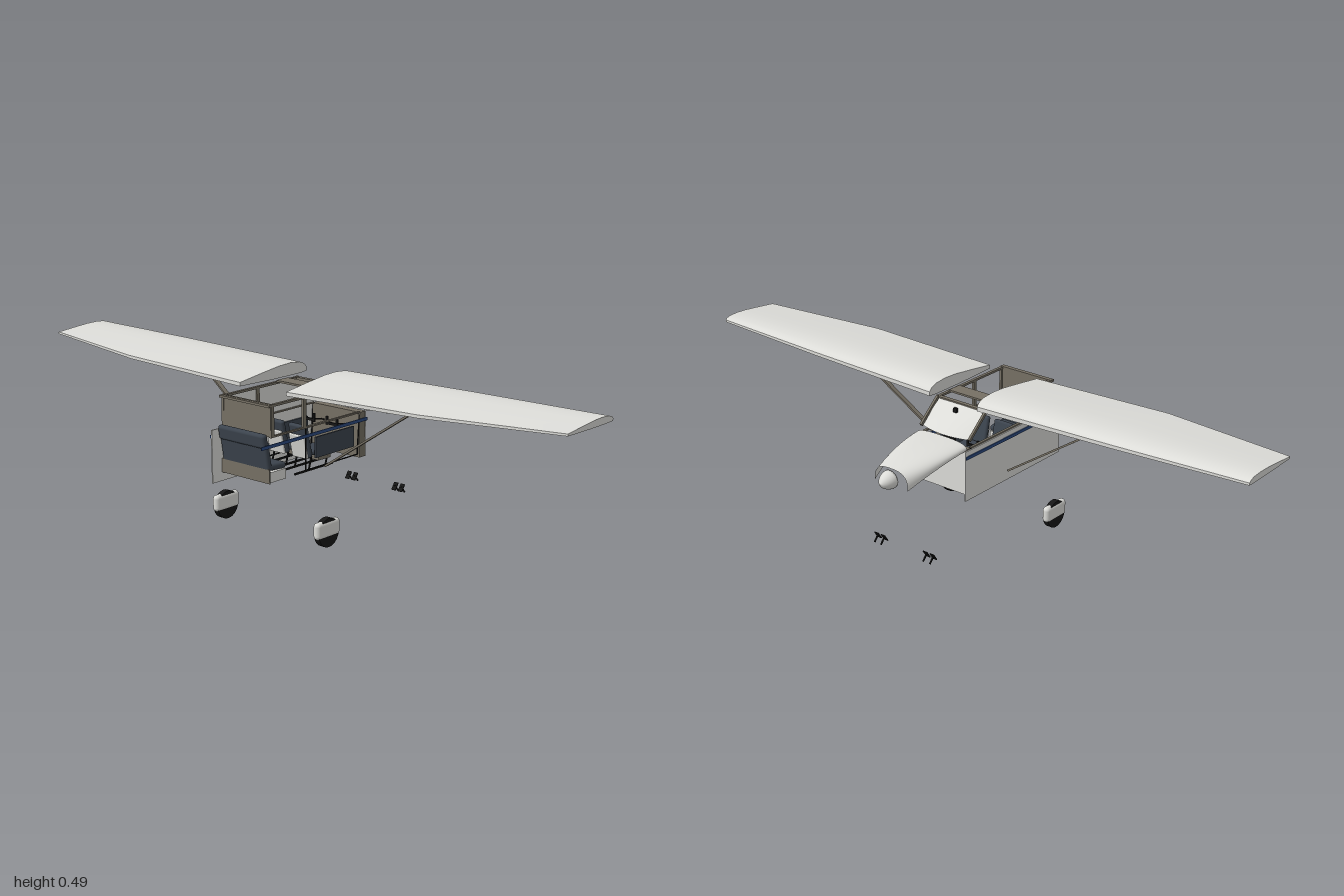
import * as THREE from 'three';
import { toCreasedNormals } from 'three/addons/utils/BufferGeometryUtils.js';
import { RoundedBoxGeometry } from 'three/addons/geometries/RoundedBoxGeometry.js';
import { ParametricGeometry } from 'three/addons/geometries/ParametricGeometry.js';

const mat = (name, color, side = THREE.FrontSide) => {
  const m = new THREE.MeshStandardMaterial({ color, side });
  m.name = name;
  return m;
};

// Loft through equal-length loops of points, closed with end caps.
function loft(loops) {
  const n = loops[0].length, index = [], last = (loops.length - 1) * n;
  for (let s = 0; s < loops.length - 1; s++) {
    for (let i = 0; i < n; i++) {
      const a = s * n + i, b = s * n + (i + 1) % n;
      index.push(a, b, a + n, b, b + n, a + n);
    }
  }
  for (let i = 1; i < n - 1; i++) {
    index.push(0, i + 1, i, last, last + i, last + i + 1);
  }
  const g = new THREE.BufferGeometry();
  g.setAttribute('position', new THREE.Float32BufferAttribute(loops.flat(2), 3));
  g.setIndex(index);
  return toCreasedNormals(g, 0.6);
}

export function createModel() {
  const root = new THREE.Group();
  root.name = 'lightAircraft';
  const white = mat('whitePaint', 0xdcdcd8);
  const shell = mat('whiteShell', 0xdcdcd8, THREE.DoubleSide);
  const taupe = mat('taupeTrim', 0x767064);
  const slate = mat('slateUpholstery', 0x3c444e);
  const navy = mat('navyStripe', 0x2c4a80);
  const black = mat('blackRubber', 0x161616);

  const add = (name, geo, material, x = 0, y = 0, z = 0) => {
    const m = new THREE.Mesh(geo, material);
    m.name = name;
    m.position.set(x, y, z);
    root.add(m);
    return m;
  };
  // Box given by its limits on each axis.
  const box = (name, material, x0, x1, y0, y1, z0, z1) =>
    add(name, new THREE.BoxGeometry(x1 - x0, y1 - y0, z1 - z0), material,
      (x0 + x1) / 2, (y0 + y1) / 2, (z0 + z1) / 2);
  const pad = (name, material, w, h, d, r, x, y, z, tilt = 0) => {
    const m = add(name, new RoundedBoxGeometry(w, h, d, 3, r), material, x, y, z);
    m.rotation.x = tilt;
    return m;
  };
  // Bar of w (sideways) by d between two points.
  const bar = (name, material, p, q, w, d) => {
    const a = new THREE.Vector3(...p), b = new THREE.Vector3(...q);
    const m = add(name, new THREE.BoxGeometry(w, d, a.distanceTo(b)), material);
    m.position.copy(a).lerp(b, 0.5);
    m.lookAt(b);
    return m;
  };

  // Wings: blunt airfoil sections with a tapered outer trailing edge
  const foil = [[0, 0.05], [0, 0.4], [0.03, 0.68], [0.1, 0.9], [0.25, 1], [0.42, 0.95],
    [0.7, 0.7], [1, 0.4], [1, 0.1], [0.5, 0], [0.1, 0]];
  const stations = [[0.092, -0.038, 0.255, 0.44, 0.479], [0.57, -0.038, 0.255, 0.456, 0.487],
    [1, -0.028, 0.19, 0.47, 0.491]];
  for (const s of [-1, 1]) {
    const list = s > 0 ? stations : [...stations].reverse();
    add('wing', loft(list.map(([x, z0, z1, y0, y1]) =>
      foil.map(([t, h]) => [s * x, y0 + (y1 - y0) * h, z0 + (z1 - z0) * t]))), white);
  }

  // Nose cowl: arched open shell
  add('noseCowl', new ParametricGeometry((u, v, p) => {
    const a = Math.PI * u, c = Math.cos(a);
    const w = 0.098 - 0.008 * v - 0.026 * v * v;
    const side = 0.335 - 0.018 * v - 0.042 * v * v, top = 0.357 - 0.008 * v - 0.02 * v * v;
    p.set(w * Math.sign(c) * Math.pow(Math.abs(c), 0.7),
      side + (top - side) * Math.pow(Math.max(0, Math.sin(a)), 0.7), -0.092 - 0.228 * v);
  }, 28, 12), shell);

  // Spinner
  const spinner = add('spinner', new THREE.LatheGeometry([[0, 0], [0.029, 0], [0.029, 0.008],
    [0.025, 0.022], [0.017, 0.035], [0.008, 0.043], [0, 0.046]]
    .map(([r, y]) => new THREE.Vector2(r, y)), 24), shell, 0, 0.297, -0.321);
  spinner.rotation.x = -Math.PI / 2 - 0.08;

  // Windshield, bulging forward at its foot
  add('windshield', new ParametricGeometry((u, v, p) => {
    const x = 2 * u - 1;
    p.set(x * (0.085 + 0.012 * v), 0.43 - 0.072 * v, 0.002 - 0.07 * v - 0.02 * v * (1 - x * x));
  }, 12, 4), shell);

  // Body side panel, inward-facing window and firewall
  box('sidePanel', white, -0.1, -0.096, 0.17, 0.332, -0.1, 0.37);
  const win = new THREE.Shape([[-0.32, 0.335], [0.075, 0.335], [0.075, 0.362], [0, 0.428], [-0.32, 0.428]]
    .map(([x, y]) => new THREE.Vector2(x, y)));
  add('sideWindow', new THREE.ShapeGeometry(win), white, -0.093).rotation.y = Math.PI / 2;
  box('firewall', taupe, -0.095, 0.097, 0.192, 0.335, -0.096, -0.07);
  box('firewallFace', white, -0.095, 0.097, 0.192, 0.335, -0.099, -0.097);

  // Rear cabin wall
  box('rearWall', taupe, -0.1, 0.1, 0.335, 0.432, 0.318, 0.325);
  box('rearRoofRail', taupe, -0.1, 0.1, 0.424, 0.431, 0.318, 0.335);
  box('windshieldHeader', taupe, -0.088, 0.088, 0.424, 0.431, -0.002, 0.012);
  box('roofCrossMember', taupe, -0.09, 0.09, 0.43, 0.436, 0.05, 0.1);
  box('compass', black, -0.006, 0.006, 0.41, 0.424, -0.03, -0.022);

  for (const s of [-1, 1]) {
    const x = s * 0.094;
    // Cabin frame and stripe
    box('roofRail', taupe, x - 0.005, x + 0.005, 0.424, 0.431, 0, 0.335);
    box('windowSill', taupe, x - 0.004, x + 0.004, 0.333, 0.338, -0.07, 0.325);
    box('rearPillar', taupe, x - 0.004, x + 0.004, 0.335, 0.428, 0.311, 0.326);
    box('doorPillar', taupe, x - 0.004, x + 0.004, 0.335, 0.428, 0.173, 0.186);
    bar('windshieldPillar', taupe, [x, 0.43, 0.004], [x, 0.36, -0.077], 0.008, 0.009);
    box('sideStripe', navy, s * 0.102 - 0.0015, s * 0.102 + 0.0015, 0.306, 0.316, -0.1, 0.37);

    // Door card with thin seal outline
    box('doorCard', slate, x - 0.003, x + 0.003, 0.233, 0.297, -0.044, 0.13);
    const seal = [[0.335, 0.173], [0.204, 0.173], [0.204, -0.062], [0.335, -0.072]];
    for (let i = 0; i < 3; i++) {
      bar('doorSeal', black, [x, ...seal[i]], [x, ...seal[i + 1]], 0.003, 0.003);
    }

    // Wing strut
    bar('wingStrut', taupe, [s * 0.11, 0.206, 0.1], [s * 0.465, 0.45, 0.064], 0.016, 0.006);

    // Main wheel and fairing
    add('wheel', new THREE.CylinderGeometry(0.044, 0.044, 0.019, 32), black, s * 0.206, 0.046, 0.207)
      .rotation.z = Math.PI / 2;
    pad('wheelFairing', white, 0.025, 0.052, 0.1, 0.012, s * 0.206, 0.057, 0.207);

    // Front seat with frame and floor rails
    const c = s * 0.046;
    pad('frontCushion', slate, 0.074, 0.018, 0.085, 0.008, c, 0.243, 0.085, -0.05);
    box('frontSeatBase', taupe, c - 0.03, c + 0.03, 0.214, 0.234, 0.042, 0.095);
    pad('frontBackrest', slate, 0.07, 0.105, 0.016, 0.007, c, 0.282, 0.143, 0.22);
    pad('frontSeatShell', white, 0.06, 0.075, 0.008, 0.003, c, 0.265, 0.151, 0.22);
    for (const k of [-0.028, 0.028]) {
      box('seatRail', black, c + k - 0.003, c + k + 0.003, 0.191, 0.196, 0.03, 0.2);
      for (const z of [0.05, 0.125]) {
        bar('seatLeg', black, [c + k, 0.195, z + 0.012], [c + k, 0.235, z], 0.004, 0.004);
      }
    }

    // Control column and wheel
    bar('controlColumn', black, [c, 0.29, -0.068], [c, 0.305, 0], 0.004, 0.004);
    box('controlWheel', black, c - 0.02, c + 0.02, 0.3, 0.308, -0.003, 0.003);
    for (const k of [-0.02, 0.02]) {
      box('controlGrip', black, c + k - 0.003, c + k + 0.003, 0.298, 0.325, -0.003, 0.003);
    }
    bar('floorLever', black, [c, 0.21, 0.03], [c, 0.222, 0], 0.004, 0.004);

    // Detached rudder pedals
    for (const px of [0.084, 0.11]) {
      bar('pedalPlate', black, [s * px, 0.043, -0.255], [s * px, 0.065, -0.27], 0.016, 0.003);
      bar('pedalArm', black, [s * px, 0.058, -0.261], [s * px, 0.036, -0.279], 0.004, 0.004);
    }
  }

  // Rear bench
  box('benchBase', white, -0.092, 0.092, 0.198, 0.229, 0.257, 0.328);
  box('benchBackPlate', taupe, -0.097, 0.097, 0.197, 0.24, 0.3285, 0.331);
  pad('benchCushion', slate, 0.186, 0.02, 0.077, 0.009, 0, 0.241, 0.293, -0.06);
  pad('benchBackrest', slate, 0.186, 0.09, 0.018, 0.008, 0, 0.277, 0.328, 0.16);
  pad('benchHeadrest', slate, 0.186, 0.044, 0.02, 0.009, 0, 0.324, 0.34, 0.16);
  return root;
}
